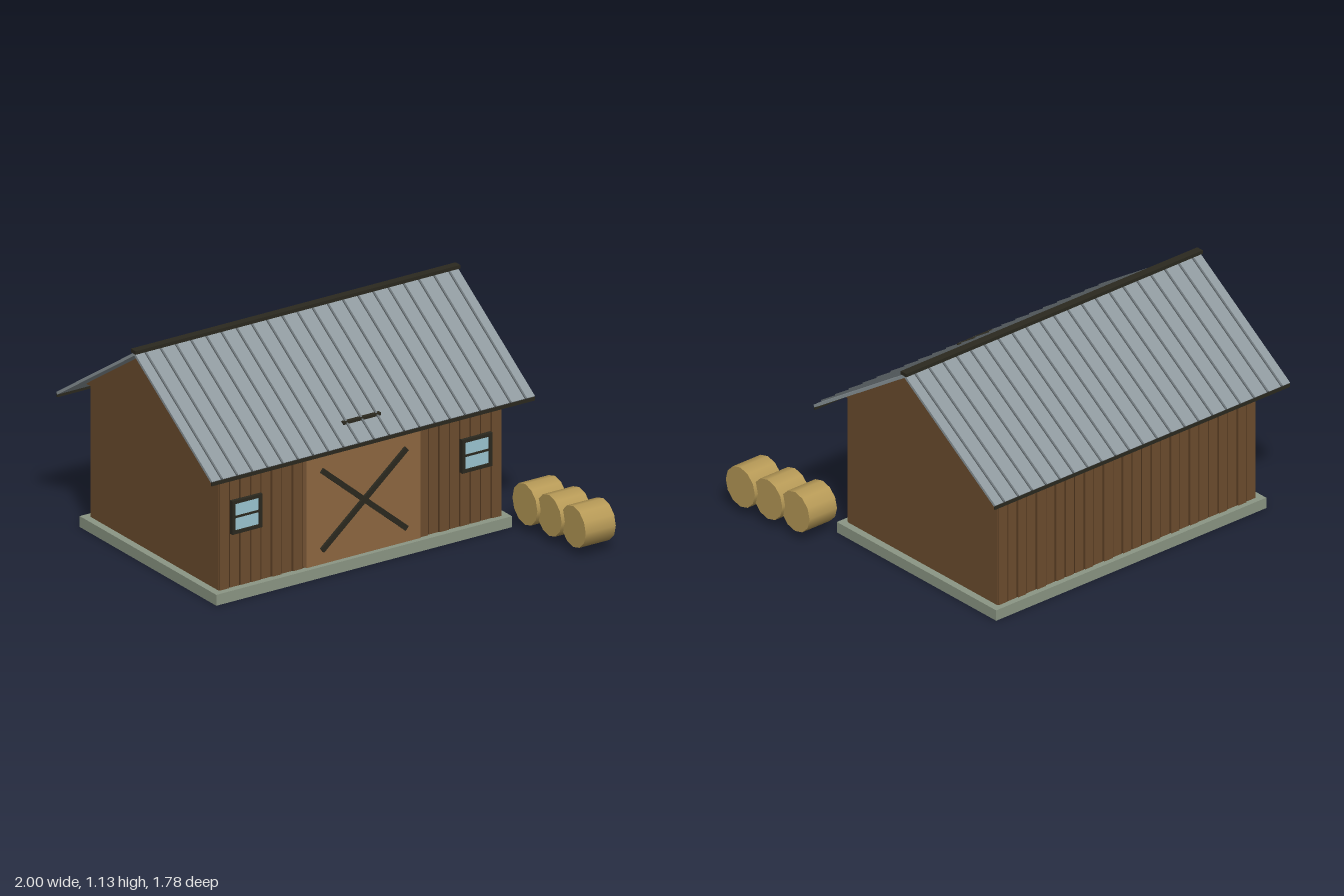
import * as THREE from 'three';

const mat = (name, color) => {
  const m = new THREE.MeshStandardMaterial({ color });
  m.name = name;
  return m;
};

export function createModel() {
  const wallBrown = mat('wall brown', 0x6d4d2e);
  const seamBrown = mat('seam brown', 0x4a321c);
  const doorBrown = mat('door brown', 0x8e6741);
  const trimDark = mat('dark trim', 0x2b291f);
  const glassBlue = mat('window glass', 0x9cc6d2);
  const roofGrey = mat('roof metal', 0x8f999e);
  const ribGrey = mat('roof rib', 0x6a7276);
  const stone = mat('foundation stone', 0x8c9785);
  const hay = mat('hay', 0xb79a57);

  const barn = new THREE.Group();
  barn.name = 'barn';
  const CX = -0.072, CZ = -0.228;              // centre of the building
  const FRONT = 0.311, BACK = -0.767;          // wall planes

  const add = (parent, name, geometry, material, x, y, z) => {
    const mesh = new THREE.Mesh(geometry, material);
    mesh.name = name;
    mesh.position.set(x, y, z);
    parent.add(mesh);
    return mesh;
  };
  const box = (parent, name, material, w, h, d, x, y, z) =>
    add(parent, name, new THREE.BoxGeometry(w, h, d), material, x, y, z);

  // Foundation and wall core
  box(barn, 'foundation', stone, 1.69, 0.056, 1.15, CX, 0.033, -0.226);
  box(barn, 'wallCore', wallBrown, 1.615, 0.695, FRONT - BACK, CX, 0.4075, CZ);

  // Vertical siding boards of slightly uneven depth, with dark seams between
  const boards = 27, pitch = 1.615 / boards;
  for (const [side, z, s] of [['front', FRONT, 1], ['back', BACK, -1]]) {
    for (let i = 0; i < boards; i++) {
      const x = CX + (i - (boards - 1) / 2) * pitch;
      const depth = 0.006 + 0.003 * Math.sin(i * 2.7 + s);
      box(barn, side + 'Board', wallBrown, pitch - 0.008, 0.675, depth, x, 0.4, z + s * depth / 2);
      if (i) box(barn, side + 'Seam', seamBrown, 0.008, 0.675, 0.002, x - pitch / 2, 0.4, z + s * 0.001);
    }
  }

  // Gable prism, overhanging the end walls a little
  const gableShape = new THREE.Shape([
    new THREE.Vector2(-0.539, 0), new THREE.Vector2(0.539, 0), new THREE.Vector2(0, 0.355),
  ]);
  const gableLength = 1.675;
  const gable = add(barn, 'gable',
    new THREE.ExtrudeGeometry(gableShape, { depth: gableLength, bevelEnabled: false }),
    wallBrown, CX - gableLength / 2, 0.755, CZ);
  gable.rotation.y = Math.PI / 2;

  // Two mirrored roof slopes with standing ribs and an eave strip
  const roofWidth = 1.845, slopeLength = 0.787, angle = Math.atan(0.661);
  for (const [side, turn] of [['front', 0], ['back', Math.PI]]) {
    const half = new THREE.Group();
    half.name = side + 'Roof';
    half.position.set(CX, 1.122, CZ);
    half.rotation.y = turn;
    barn.add(half);
    const slope = new THREE.Group();
    slope.name = side + 'Slope';
    slope.rotation.x = angle;
    half.add(slope);
    box(slope, 'roofPanel', roofGrey, roofWidth, 0.014, slopeLength, 0, -0.007, slopeLength / 2);
    for (let i = -10; i <= 10; i++)
      box(slope, 'roofRib', ribGrey, 0.009, 0.008, slopeLength, i * 0.0868, 0.003, slopeLength / 2);
    box(half, 'eaveStrip', trimDark, roofWidth, 0.02, 0.008, 0, -0.448, 0.65);
  }
  box(barn, 'ridgeCap', trimDark, 1.856, 0.018, 0.04, CX, 1.127, CZ);

  // Sliding door with crossed braces and its rail
  box(barn, 'door', doorBrown, 0.652, 0.556, 0.03, CX, 0.35, 0.329);
  for (const s of [-1, 1]) {
    const brace = box(barn, 'doorBrace', trimDark, 0.635, 0.027, 0.014, CX, 0.35, 0.349 + s * 0.0005);
    brace.rotation.z = s * 0.704;
  }
  const rail = add(barn, 'doorRail', new THREE.CylinderGeometry(0.009, 0.009, 0.75, 8), roofGrey, CX, 0.66, 0.36);
  rail.rotation.z = Math.PI / 2;

  // Loft hatch tucked under the eave
  box(barn, 'loftFrame', trimDark, 0.215, 0.13, 0.022, CX, 0.7, 0.322);
  box(barn, 'loftHatch', doorBrown, 0.18, 0.095, 0.004, CX, 0.7, 0.334);

  // Front windows: frame with a hole, glass pane and crossbar
  const frameShape = new THREE.Shape([[-1, -1], [1, -1], [1, 1], [-1, 1]]
    .map(([x, y]) => new THREE.Vector2(x * 0.0865, y * 0.086)));
  frameShape.holes.push(new THREE.Path([[-1, -1], [-1, 1], [1, 1], [1, -1]]
    .map(([x, y]) => new THREE.Vector2(x * 0.069, y * 0.069))));
  for (const s of [-1, 1]) {
    const win = new THREE.Group();
    win.name = s > 0 ? 'leftWindow' : 'rightWindow';
    win.position.set(CX + s * 0.657, 0.425, FRONT);
    barn.add(win);
    add(win, 'windowFrame', new THREE.ExtrudeGeometry(frameShape, { depth: 0.024, bevelEnabled: false }),
      trimDark, 0, 0, 0);
    box(win, 'windowGlass', glassBlue, 0.14, 0.14, 0.008, 0, 0, 0.012);
    box(win, 'windowBar', trimDark, 0.14, 0.01, 0.006, 0, 0, 0.019);
  }

  // Row of round hay bales
  for (let i = 0; i < 3; i++) {
    const bale = add(barn, 'hayBale', new THREE.CylinderGeometry(0.105, 0.105, 0.172, 12),
      hay, 0.874 + i * 0.019, 0.149, 0.435 + i * 0.1755);
    bale.rotation.z = Math.PI / 2;
  }

  return barn;
}
